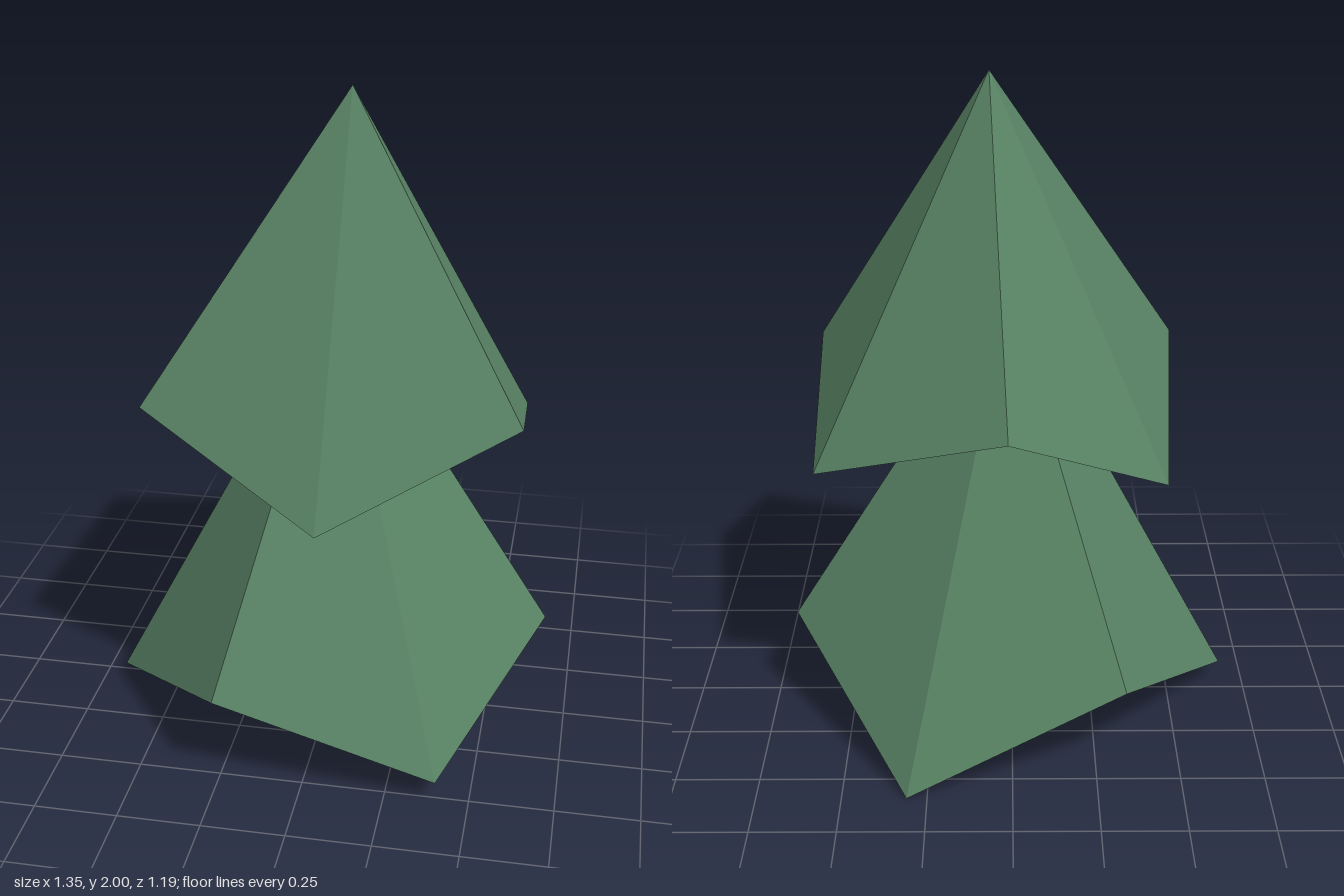
import * as THREE from 'three';

const foliage = new THREE.MeshStandardMaterial({ color: 0x588264 });
foliage.name = 'foliageGreen';

// One faceted tier: a fan from the tip to a jagged rim, and a hollowed fan underneath
function makeTier(name, tip, hollow, rim) {
  const positions = [];
  rim.forEach((corner, i) => {
    const next = rim[(i + 1) % rim.length];
    positions.push(...tip, ...next, ...corner);
    positions.push(...hollow, ...corner, ...next);
  });
  const geometry = new THREE.BufferGeometry();
  geometry.setAttribute('position', new THREE.Float32BufferAttribute(positions, 3));
  geometry.computeVertexNormals();
  const mesh = new THREE.Mesh(geometry, foliage);
  mesh.name = name;
  return mesh;
}

export function createModel() {
  const tree = new THREE.Group();
  tree.name = 'tree';

  // Rims run clockwise seen from above, alternating high and drooping corners
  tree.add(makeTier('lowerFoliage', [0.01, 1.37, -0.025], [0, 0.44, -0.005], [
    [-0.33, 0.31, -0.525], [0.31, 0, -0.595], [0.673, 0.315, -0.058],
    [0.402, 0.075, 0.532], [-0.247, 0.315, 0.592], [-0.675, 0.06, 0.058],
  ]));
  tree.add(makeTier('upperFoliage', [0.064, 2, 0.032], [0.045, 1.21, 0.005], [
    [0.012, 1.12, -0.583], [0.568, 0.922, -0.335], [0.594, 1.12, 0.3],
    [0.05, 0.865, 0.552], [-0.5, 1.115, 0.328], [-0.456, 0.85, -0.262],
  ]));

  return tree;
}
